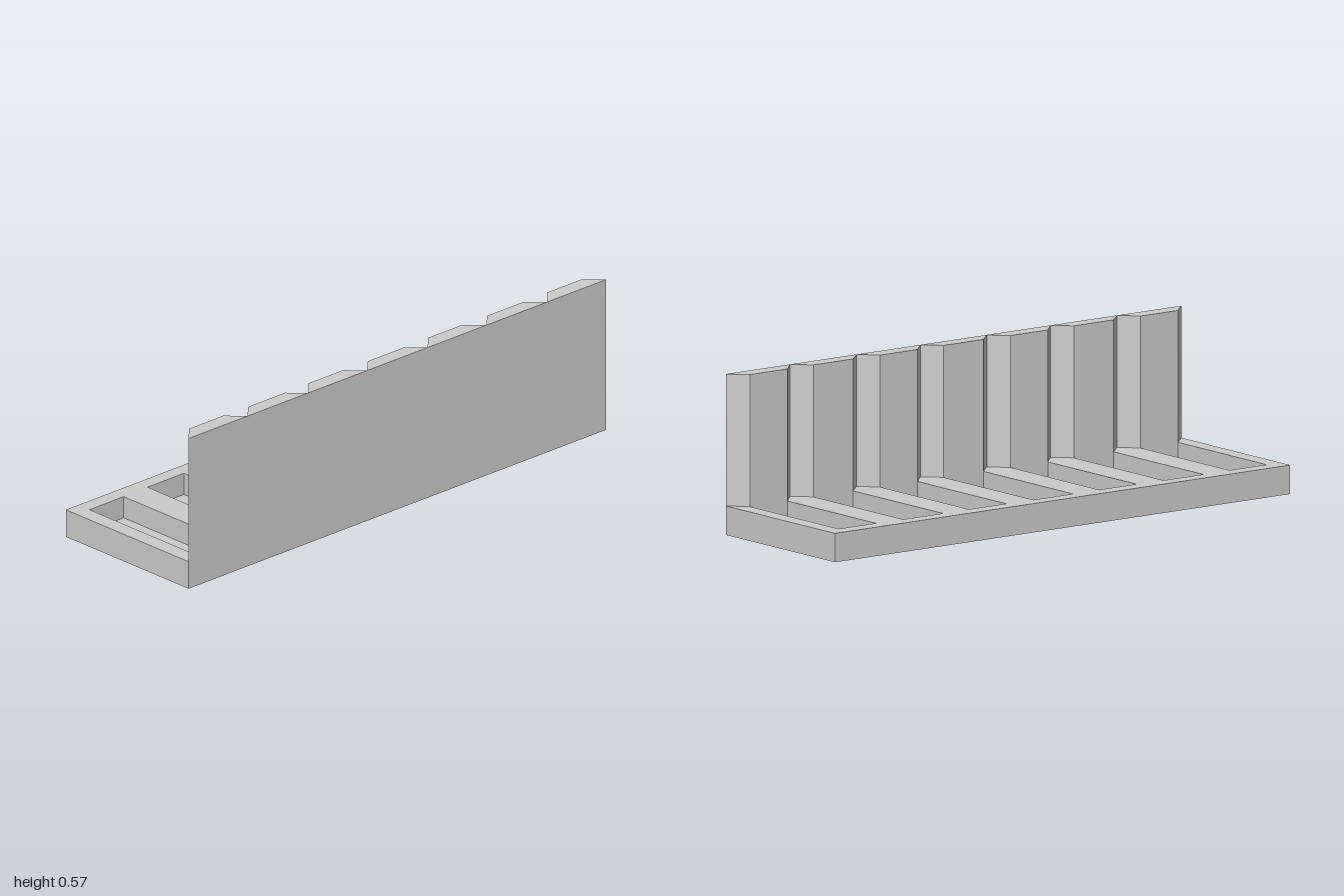
import * as THREE from 'three';

const HALF_W = 0.31, HALF_L = 1;
const FLOOR_Y = 0.022, BASE_Y = 0.1025, TOP_Y = 0.57;
const BAYS = 7, PITCH = 0.286, VALLEY_X = 0.309;

// Extrudes a plan drawn as (x, -z) upward between two heights
function extrudeUp(shape, y0, y1) {
  const geo = new THREE.ExtrudeGeometry(shape, { depth: y1 - y0, bevelEnabled: false });
  geo.rotateX(-Math.PI / 2);
  geo.translate(0, y0, 0);
  return geo;
}

const planPoints = (pts) => pts.map(([x, z]) => new THREE.Vector2(x, -z));

export function createModel() {
  const group = new THREE.Group();
  group.name = 'slottedRack';
  const material = new THREE.MeshStandardMaterial({ color: 0xcccccc, flatShading: true });
  const add = (name, geo) => {
    const mesh = new THREE.Mesh(geo, material);
    mesh.name = name;
    group.add(mesh);
  };

  // One pocket per bay; alternate bays are slightly larger
  const bays = Array.from({ length: BAYS }, (_, i) => {
    const z = (i - (BAYS - 1) / 2) * PITCH, odd = i % 2;
    const half = odd ? 0.0875 : 0.082;
    return { z0: z - half, z1: z + half, x0: odd ? -0.257 : -0.254, x1: odd ? 0.253 : 0.25 };
  });

  // Solid bottom beneath the pockets
  const floor = new THREE.BoxGeometry(HALF_W * 2, FLOOR_Y, HALF_L * 2);
  floor.translate(0, FLOOR_Y / 2, 0);
  add('baseFloor', floor);

  // Base frame with rectangular pockets: outline counter-clockwise, holes clockwise
  const frame = new THREE.Shape(planPoints([
    [-HALF_W, HALF_L], [HALF_W, HALF_L], [HALF_W, -HALF_L], [-HALF_W, -HALF_L],
  ]));
  for (const { x0, x1, z0, z1 } of bays) {
    frame.holes.push(new THREE.Path(planPoints([[x0, z0], [x1, z0], [x1, z1], [x0, z1]])));
  }
  add('pocketedBase', extrudeUp(frame, FLOOR_Y, BASE_Y));

  // Upright wall with a V groove between neighbouring bays
  const profile = [[HALF_W, HALF_L], [HALF_W, -HALF_L], [VALLEY_X, -HALF_L]];
  bays.forEach(({ x1, z0, z1 }, i) => {
    const valley = i < BAYS - 1 ? (z1 + bays[i + 1].z0) / 2 : HALF_L;
    profile.push([x1, z0], [x1, z1], [VALLEY_X, valley]);
  });
  add('groovedWall', extrudeUp(new THREE.Shape(planPoints(profile)), BASE_Y, TOP_Y));

  return group;
}
